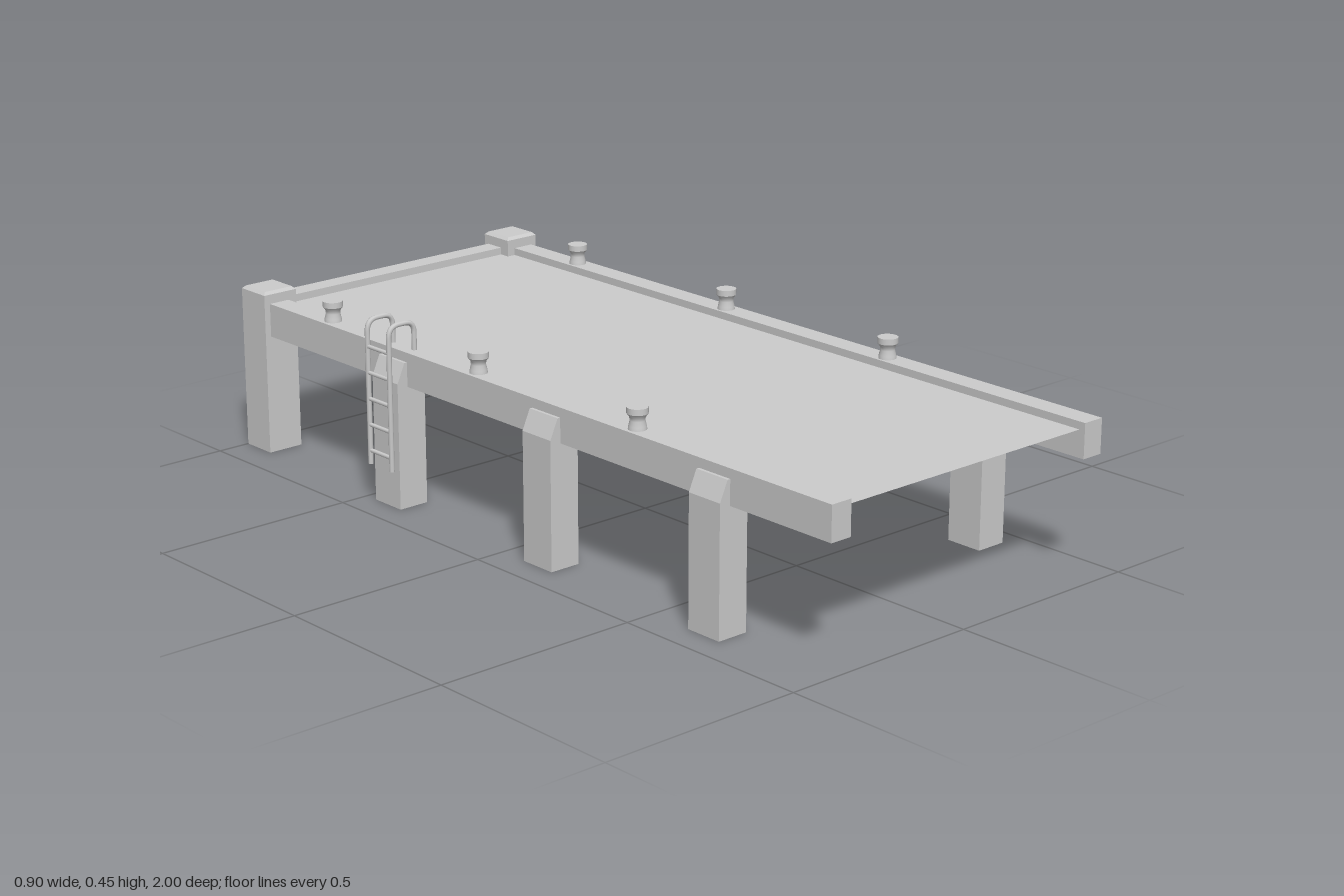
import * as THREE from 'three';

const flat = new THREE.MeshStandardMaterial({ color: 0xcccccc, flatShading: true, side: THREE.DoubleSide });
const smooth = new THREE.MeshStandardMaterial({ color: 0xcccccc, side: THREE.DoubleSide });

function add(parent, name, geometry, material, x = 0, y = 0, z = 0) {
  const mesh = new THREE.Mesh(geometry, material);
  mesh.name = name;
  mesh.position.set(x, y, z);
  parent.add(mesh);
  return mesh;
}

// Square post, open underneath, with a small bevel around its top
function cornerPostGeometry(width, height, bevel) {
  const k = Math.SQRT1_2;
  const profile = [[width * k, 0], [width * k, height - bevel], [(width - 2 * bevel) * k, height], [0, height]];
  return new THREE.LatheGeometry(profile.map(p => new THREE.Vector2(...p)), 4, Math.PI / 4);
}

// Post, open underneath, whose outer (+x) face slopes in to lap over the beam
function sidePostGeometry(width, height, depth, shoulder, slope) {
  const g = new THREE.BoxGeometry(width, height, depth, 1, 2, 1);
  g.translate(0, height / 2, 0);
  const p = g.attributes.position;
  for (let i = 0; i < p.count; i++) {
    const y = p.getY(i);
    if (Math.abs(y - height / 2) < 1e-4) p.setY(i, shoulder);
    if (y > height - 1e-4 && p.getX(i) > 0) p.setX(i, width / 2 - slope);
  }
  const bottom = g.groups[3];
  g.setIndex(Array.from(g.index.array).filter((v, i) => i < bottom.start || i >= bottom.start + bottom.count));
  g.clearGroups();
  return g;
}

// Mooring bollard with a waisted stem and a wide head
function bollardGeometry() {
  const profile = [[0.021, 0], [0.02, 0.008], [0.017, 0.02], [0.018, 0.028], [0.024, 0.036], [0.024, 0.036], [0.024, 0.05], [0.024, 0.05], [0, 0.05]];
  return new THREE.LatheGeometry(profile.map(p => new THREE.Vector2(...p)), 20);
}

// Ladder rail: up the outside, over a rounded bend and down to the beam
function ladderRailGeometry(radius) {
  const v = (x, y) => new THREE.Vector3(x, y, 0);
  const path = new THREE.CurvePath();
  path.add(new THREE.LineCurve3(v(-0.445, 0.095), v(-0.445, 0.415)));
  path.add(new THREE.QuadraticBezierCurve3(v(-0.445, 0.415), v(-0.445, 0.444), v(-0.416, 0.444)));
  path.add(new THREE.LineCurve3(v(-0.416, 0.444), v(-0.399, 0.444)));
  path.add(new THREE.QuadraticBezierCurve3(v(-0.399, 0.444), v(-0.372, 0.444), v(-0.372, 0.417)));
  path.add(new THREE.LineCurve3(v(-0.372, 0.417), v(-0.372, 0.37)));
  return new THREE.TubeGeometry(path, 80, radius, 8);
}

export function createModel() {
  const model = new THREE.Group();
  model.name = 'dock';

  // Platform, posts and bollards share a centre line beside the ladder
  const dock = new THREE.Group();
  dock.name = 'platform';
  dock.position.x = 0.0095;
  model.add(dock);

  const deck = new THREE.PlaneGeometry(0.72, 1.945).rotateX(-Math.PI / 2);
  add(dock, 'deck', deck, flat, 0, 0.357, 0.0125);
  add(dock, 'backBeam', new THREE.BoxGeometry(0.67, 0.082, 0.052), flat, 0, 0.334, -0.96);

  const beam = new THREE.BoxGeometry(0.055, 0.082, 1.93);
  const cornerPost = cornerPostGeometry(0.093, 0.405, 0.007);
  const sidePost = sidePostGeometry(0.078, 0.352, 0.094, 0.305, 0.021);
  const bollard = bollardGeometry();

  for (const side of [-1, 1]) {
    const label = side > 0 ? 'left' : 'right';
    add(dock, label + 'Beam', beam, flat, side * 0.3825, 0.334, 0.035);
    add(dock, label + 'CornerPost', cornerPost, flat, side * 0.379, 0, -0.9535);
    for (const z of [0.66, 0.123, -0.418]) {
      const post = add(dock, label + 'SidePost', sidePost, flat, side * 0.3995, 0, z);
      post.rotation.y = side > 0 ? 0 : Math.PI;
    }
    for (const z of [0.39, -0.145, -0.69]) {
      add(dock, label + 'Bollard', bollard, smooth, side * 0.3815, 0.375, z);
    }
  }

  // Ladder on the right side
  const ladder = new THREE.Group();
  ladder.name = 'ladder';
  model.add(ladder);
  const rail = ladderRailGeometry(0.0062);
  for (const z of [-0.459, -0.379]) add(ladder, 'ladderRail', rail, smooth, 0, 0, z);
  const rung = new THREE.CylinderGeometry(0.005, 0.005, 0.08, 8).rotateX(Math.PI / 2);
  for (let i = 0; i < 5; i++) add(ladder, 'rung', rung, smooth, -0.445, 0.128 + i * 0.063, -0.419);

  return model;
}
